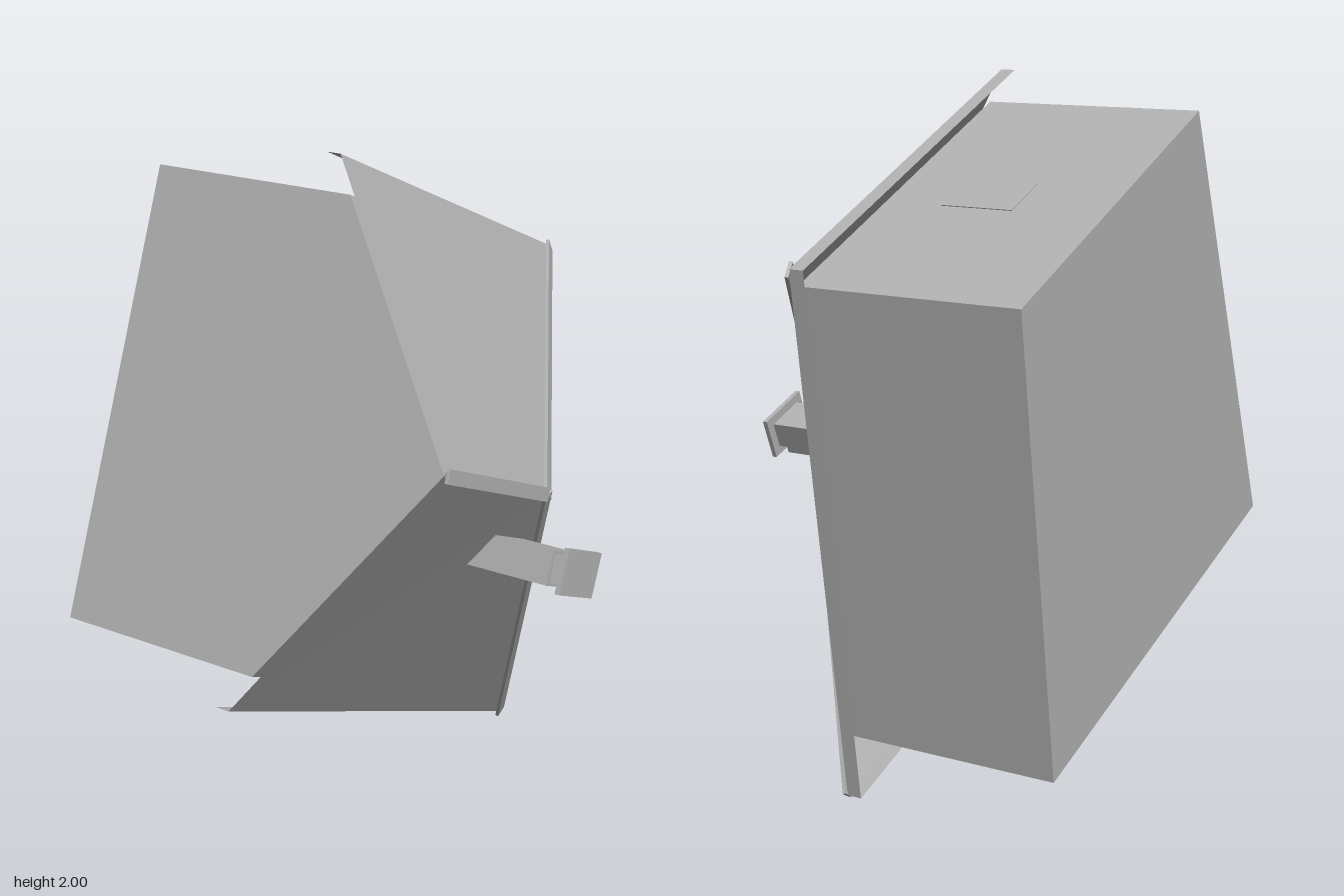
import * as THREE from 'three';
import { ConvexGeometry } from 'three/addons/geometries/ConvexGeometry.js';

const V = (x, y, z) => new THREE.Vector3(x, y, z);

export function createModel() {
  const group = new THREE.Group();
  const metal = new THREE.MeshStandardMaterial({ color: 0xb0b0b0, side: THREE.DoubleSide });
  metal.name = 'grey sheet metal';

  const add = (name, geometry) => {
    const mesh = new THREE.Mesh(geometry, metal);
    mesh.name = name;
    group.add(mesh);
    return mesh;
  };

  // Flat sheet from three or four corners, counter-clockwise from outside
  const sheet = (name, ...p) => {
    const tris = p.length === 4 ? [p[0], p[1], p[2], p[0], p[2], p[3]] : p;
    const g = new THREE.BufferGeometry().setFromPoints(tris);
    g.computeVertexNormals();
    return add(name, g);
  };

  // Box with its length along a to b and its thickness along normal n
  const bar = (name, a, b, n, width, thick) => {
    const x = b.clone().sub(a), length = x.length();
    x.normalize();
    const y = n.clone().addScaledVector(x, -n.dot(x)).normalize();
    const z = x.clone().cross(y);
    const mesh = add(name, new THREE.BoxGeometry(length, thick, width));
    mesh.quaternion.setFromRotationMatrix(new THREE.Matrix4().makeBasis(x, y, z));
    mesh.position.copy(a).add(b).multiplyScalar(0.5);
    return mesh;
  };

  // Corners of the hipped cover: rim a, b, c, d and ridge e, f
  const a = V(-0.275, 2, -0.03), b = V(0.785, 1.54, -0.03);
  const c = V(0.545, 0.015, -0.03), d = V(-0.8, 0.547, -0.03);
  const e = V(-0.541, 1.27, 0.515), f = V(-0.045, 1.07, 0.507);

  // Body: tapered block whose flush side rises to the ridge end
  const outline = [[-0.311, 1.902], [0.667, 1.475], [0.475, 0.164], [-0.768, 0.655]];
  const points = outline.flatMap(([x, y]) => [V(x, y, -0.655), V(x, y, 0.03)]);
  add('body', new ConvexGeometry([...points, V(-0.543, 1.27, 0.505)]));

  // Sloped cover panels
  sheet('upperPanel', a, e, f, b);
  sheet('lowerPanel', d, c, f, e);
  sheet('sidePanel', b, f, c);

  // Folded lip along three rim edges
  const back = (p) => V(p.x, p.y, -0.075);
  [['upperLip', a, b], ['sideLip', b, c], ['lowerLip', c, d]].forEach(([name, p, q]) =>
    sheet(name, p, q, back(q), back(p)));

  // Seam strips over the ridge and hips
  const normal = (p, q, r) => q.clone().sub(p).cross(r.clone().sub(p)).normalize();
  const nUp = normal(a, e, f), nLow = normal(d, c, f), nSide = normal(b, f, c);
  bar('ridgeSeam', e, f, nUp.clone().add(nLow), 0.04, 0.01);
  bar('upperHipSeam', f, b, nUp.clone().add(nSide), 0.045, 0.01);
  bar('lowerHipSeam', f, c, nLow.clone().add(nSide), 0.04, 0.01);

  // Stepped knob on the lower panel: width, height, back and front of each step
  [['knobBase', 0.155, 0.1, 0.3, 0.6], ['knobNeck', 0.13, 0.08, 0.6, 0.64],
    ['knobPlate', 0.185, 0.13, 0.64, 0.655]].forEach(([name, w, h, z0, z1]) => {
    const mesh = add(name, new THREE.BoxGeometry(w, h, z1 - z0));
    mesh.position.set(-0.1, 0.886, (z0 + z1) / 2);
    mesh.rotation.z = -0.38;
  });

  // Thin vent flaps: one on the upper wall, two on the lower wall
  const vent = (name, [x0, y0], [x1, y1], t) => {
    const dir = V(x1 - x0, y1 - y0, 0).normalize();
    const mid = V(x0 + (x1 - x0) * t, y0 + (y1 - y0) * t, -0.265);
    bar(name, mid.clone().addScaledVector(dir, -0.075), mid.clone().addScaledVector(dir, 0.075),
      V(-dir.y, dir.x, 0), 0.225, 0.005);
  };
  vent('upperVent', outline[0], outline[1], 0.5);
  [0.3, 0.7].forEach((t) => vent('lowerVent', outline[2], outline[3], t));

  return group;
}
